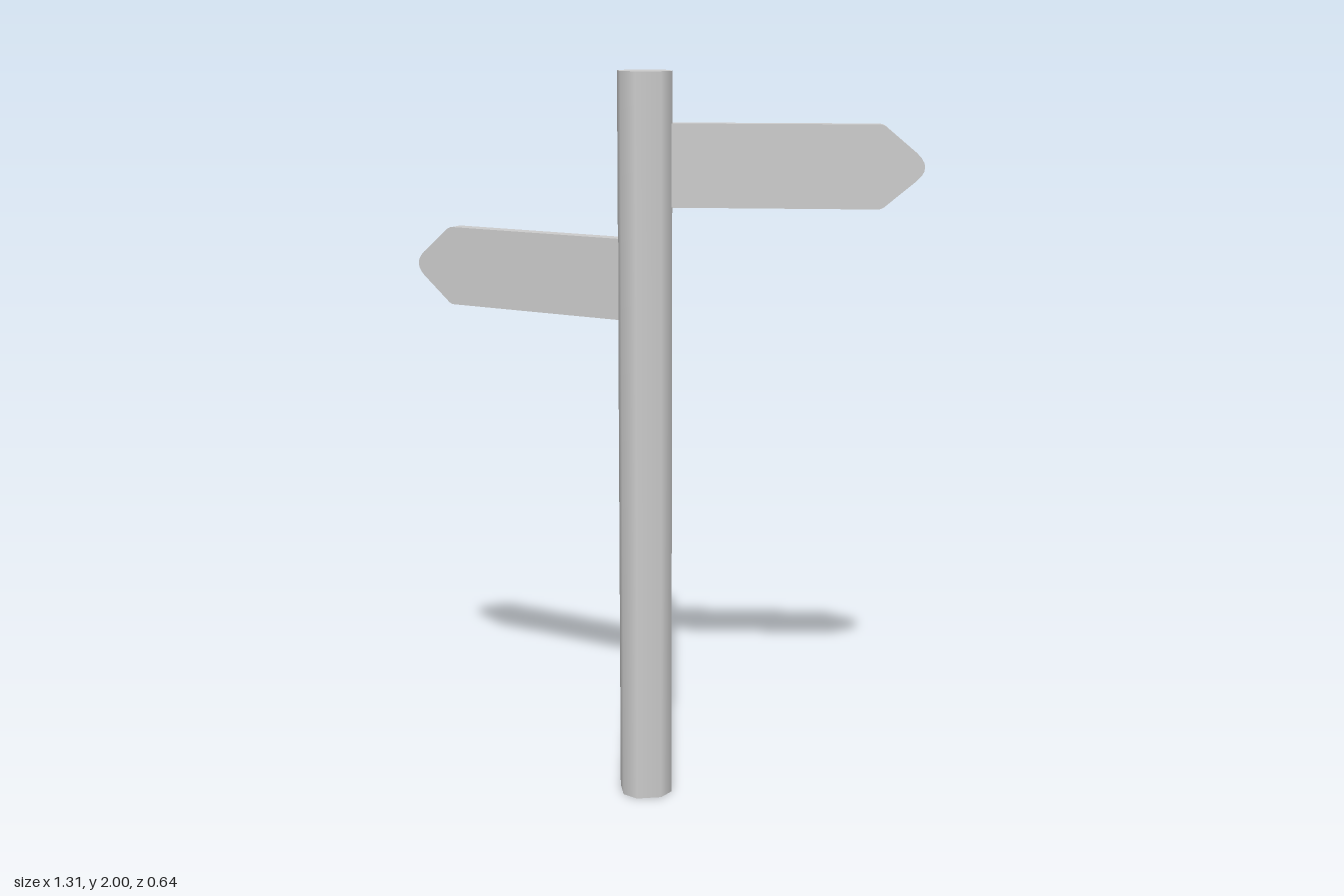
import * as THREE from 'three';
import { toCreasedNormals } from 'three/addons/utils/BufferGeometryUtils.js';

const HALF = 0.068;    // half width of the post
const FLAT = 0.034;    // half width of its straight faces
const HEIGHT = 2;

// Turn a regular octagon into a square with cut corners
function squareOff(geometry, u, v) {
  const p = geometry.attributes.position;
  for (let i = 0; i < p.count; i++) {
    const a = p.getComponent(i, u), b = p.getComponent(i, v);
    if (Math.hypot(a, b) < 1e-4) continue; // cap centre
    const wide = Math.abs(a) > Math.abs(b);
    p.setComponent(i, u, Math.sign(a) * (wide ? HALF : FLAT));
    p.setComponent(i, v, Math.sign(b) * (wide ? FLAT : HALF));
  }
  return geometry;
}

// Pointed board with a rounded tip, running along +x from the post axis
function boardGeometry() {
  const start = 0.067, h = 0.109, depth = 0.043;
  const s = new THREE.Shape();
  s.moveTo(start, -h);
  s.lineTo(0.607, -h);
  s.quadraticCurveTo(0.62, -h, 0.629, -0.1);
  s.lineTo(0.708, -0.034);
  s.quadraticCurveTo(0.747, 0, 0.708, 0.034);
  s.lineTo(0.629, 0.1);
  s.quadraticCurveTo(0.62, h, 0.607, h);
  s.lineTo(start, h);
  s.closePath();
  const g = new THREE.ExtrudeGeometry(s, { depth, bevelEnabled: false, curveSegments: 6 });
  g.translate(0, 0, -depth / 2);
  return toCreasedNormals(g, THREE.MathUtils.degToRad(35));
}

export function createModel() {
  const model = new THREE.Group();
  model.name = 'signpost';
  const material = new THREE.MeshStandardMaterial({ color: 0xcccccc, side: THREE.DoubleSide });

  const add = (name, geometry, x, y, z) => {
    const mesh = new THREE.Mesh(geometry, material);
    mesh.name = name;
    mesh.position.set(x, y, z);
    model.add(mesh);
    return mesh;
  };
  const px = -0.065, pz = 0.129;

  // Post: smooth eight-sided tube, open at the bottom
  const tube = new THREE.CylinderGeometry(HALF, HALF, HEIGHT, 8, 1, true, Math.PI / 8);
  add('post', squareOff(tube, 0, 2), px, HEIGHT / 2, pz);

  // Flat cap on the post
  const cap = squareOff(new THREE.CircleGeometry(HALF, 8, Math.PI / 8), 0, 1);
  add('postCap', cap.rotateX(-Math.PI / 2), px, HEIGHT, pz);

  // Two boards pointing different ways
  const board = boardGeometry();
  for (const [name, y, angle] of [['upperBoard', 1.757, -12.8], ['lowerBoard', 1.452, 142.6]]) {
    add(name, board, px, y, pz).rotation.y = THREE.MathUtils.degToRad(angle);
  }
  return model;
}
